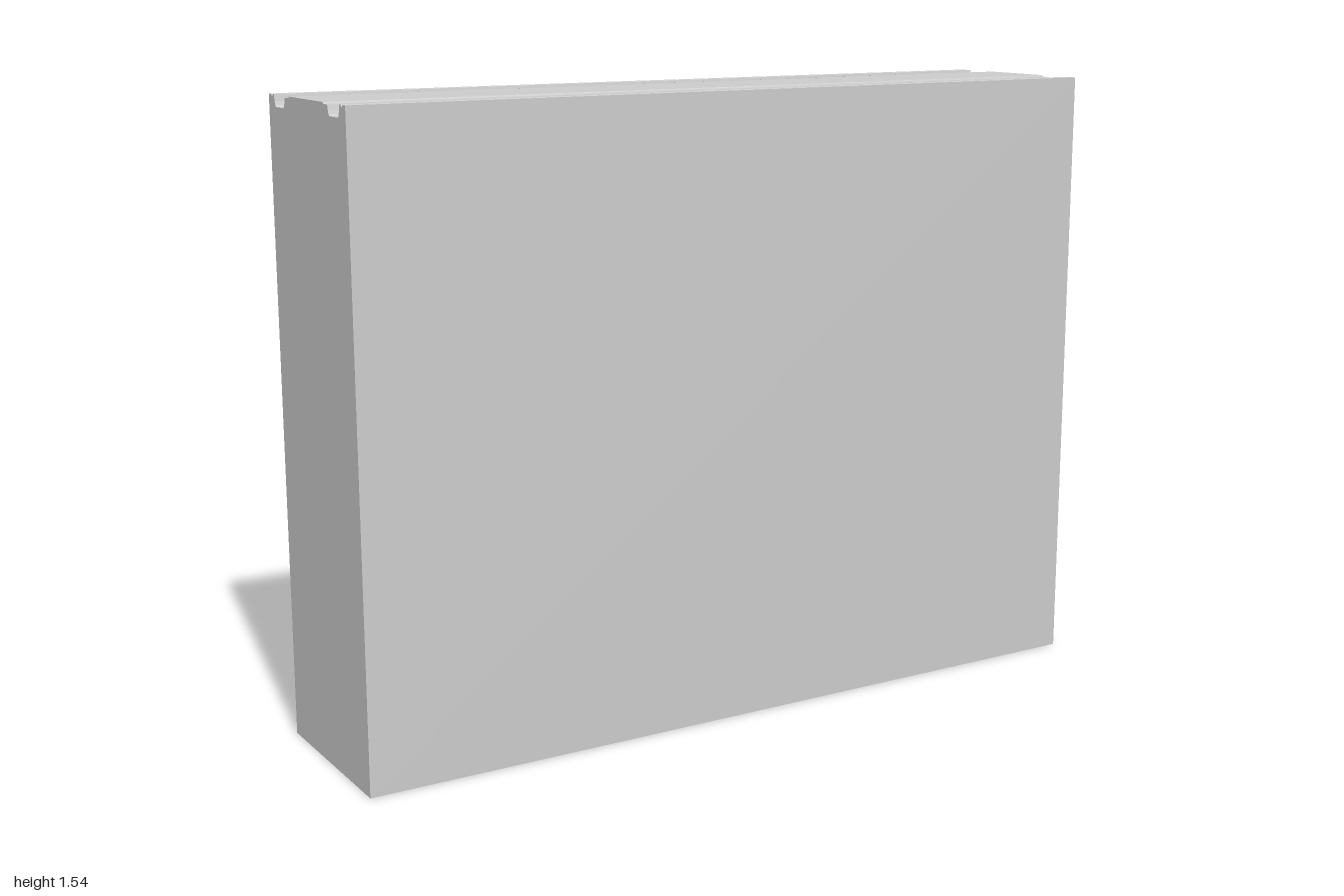
import * as THREE from 'three';

const HALF = 1, TOP = 1.537;

export function createModel() {
  const group = new THREE.Group();
  const material = new THREE.MeshStandardMaterial({
    color: 0xcccccc, flatShading: true, side: THREE.DoubleSide,
  });
  const add = (name, geometry, parent = group) => {
    const mesh = new THREE.Mesh(geometry, material);
    mesh.name = name;
    parent.add(mesh);
    return mesh;
  };

  // Half cross-section as [z, y]: wall, rim with fine seam, channel, raised centre
  const half = [
    [0.23, 0], [0.23, TOP], [0.215, TOP], [0.212, 1.533], [0.207, 1.533], [0.204, TOP],
    [0.197, TOP], [0.194, 1.522], [0.191, 1.513], [0.186, 1.509],
    [0.139, 1.509], [0.134, 1.513], [0.131, 1.522], [0.128, 1.533],
    [0.105, 1.533], [0.103, TOP],
  ];
  const profile = [...half, ...half.slice().reverse().map(([z, y]) => [-z, y])];

  // Walls and top swept along x, open underneath
  const positions = [];
  for (let i = 0; i < profile.length - 1; i++) {
    const [z0, y0] = profile[i], [z1, y1] = profile[i + 1];
    positions.push(
      -HALF, y0, z0, HALF, y0, z0, HALF, y1, z1,
      -HALF, y0, z0, HALF, y1, z1, -HALF, y1, z1,
    );
  }
  const sweep = new THREE.BufferGeometry();
  sweep.setAttribute('position', new THREE.Float32BufferAttribute(positions, 3));
  sweep.computeVertexNormals();
  add('wallsAndTop', sweep);

  // End walls
  const outline = new THREE.Shape(profile.map(([z, y]) => new THREE.Vector2(z, y)));
  for (const side of [-1, 1]) {
    const end = new THREE.ShapeGeometry(outline);
    end.rotateY(side * Math.PI / 2);
    end.translate(side * HALF, 0, 0);
    add(side > 0 ? 'leftEndWall' : 'rightEndWall', end);
  }

  // Rows of small crossbars bridging both channels
  const bar = new THREE.BoxGeometry(0.011, 0.007, 0.067);
  for (const side of [-1, 1]) {
    const row = new THREE.Group();
    row.name = side > 0 ? 'frontCrossbars' : 'backCrossbars';
    for (let i = 0; i < 22; i++) {
      add('crossbar', bar, row).position.set(-0.904 + i * 0.0869, 1.528, side * 0.1625);
    }
    group.add(row);
  }
  return group;
}
